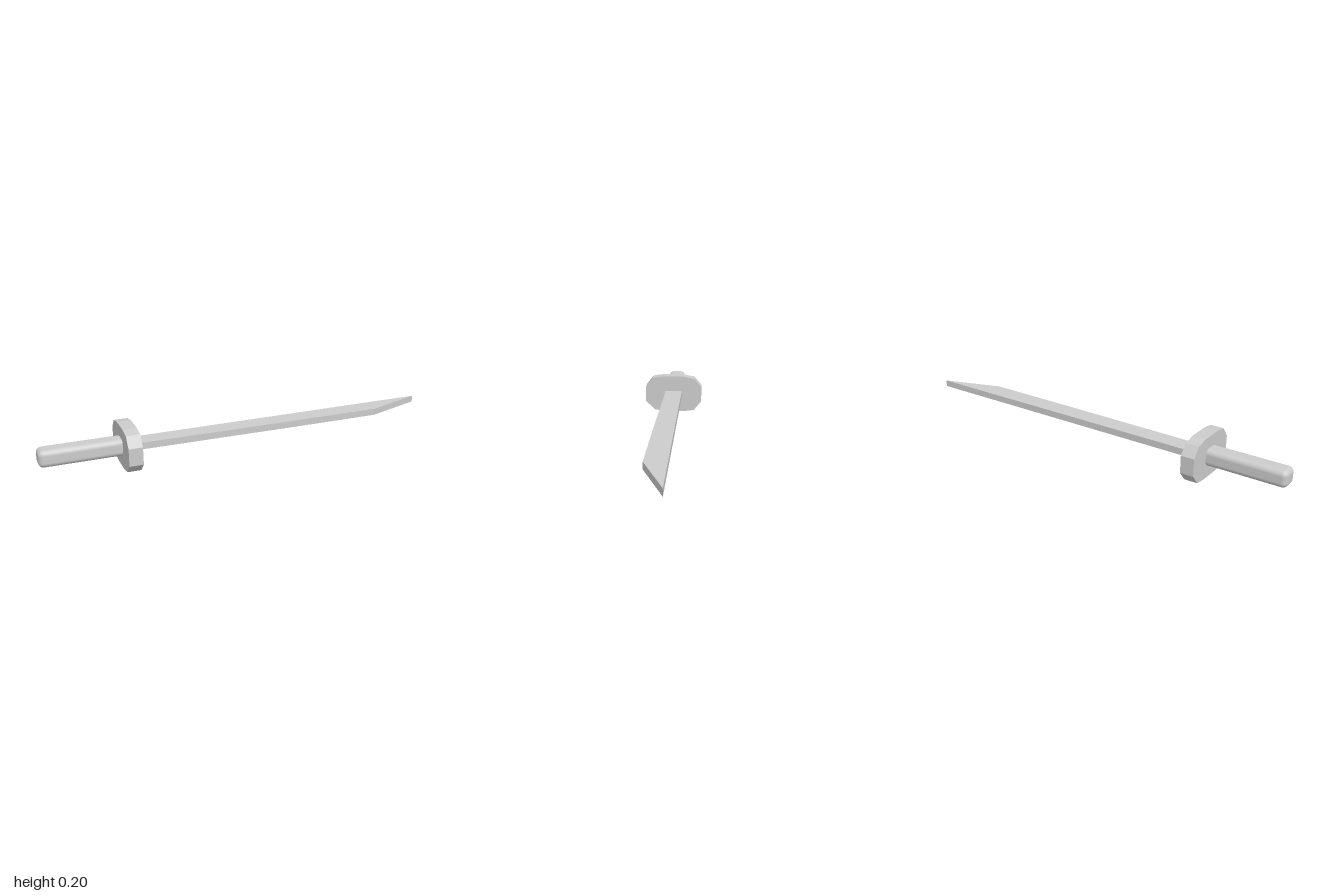
import * as THREE from 'three';
import { RoundedBoxGeometry } from 'three/addons/geometries/RoundedBoxGeometry.js';

const flat = new THREE.MeshStandardMaterial({ color: 0xcccccc, flatShading: true });
const smooth = new THREE.MeshStandardMaterial({ color: 0xcccccc });

function prism(points, depth) {
  const shape = new THREE.Shape(points.map(([a, b]) => new THREE.Vector2(a, b)));
  return new THREE.ExtrudeGeometry(shape, { depth, bevelEnabled: false });
}

function add(group, name, geometry, material) {
  const mesh = new THREE.Mesh(geometry, material);
  mesh.name = name;
  group.add(mesh);
  return mesh;
}

export function createModel() {
  const group = new THREE.Group();
  group.name = 'sword';

  // Blade: outline in (x, -z), extruded upwards; straight spine, slightly widening edge, slanted tip
  const blade = prism([
    [-0.6, -0.043], [-0.38, -0.046], [-0.1, -0.049], [0.2, -0.053], [0.5, -0.055],
    [0.7, -0.056], [1, 0.046], [-0.6, 0.046],
  ], 0.033);
  blade.rotateX(-Math.PI / 2).translate(0, 0.084, 0);
  add(group, 'blade', blade, flat);

  // Guard: faceted plate, outline in (-z, y), extruded along x
  const guard = prism([
    [-0.155, 0.057], [-0.104, 0.009], [-0.056, 0.001], [0.054, 0.001], [0.113, 0.008], [0.154, 0.057],
    [0.154, 0.141], [0.115, 0.187], [0.052, 0.2], [-0.058, 0.2], [-0.117, 0.19], [-0.155, 0.141],
  ], 0.066);
  guard.rotateY(Math.PI / 2).translate(-0.621, 0, 0);
  add(group, 'guard', guard, flat);

  // Grip: bar with rounded edges, its inner end hidden in the guard
  const grip = add(group, 'grip', new RoundedBoxGeometry(0.42, 0.082, 0.09, 3, 0.025), smooth);
  grip.position.set(-0.79, 0.102, 0);

  return group;
}
